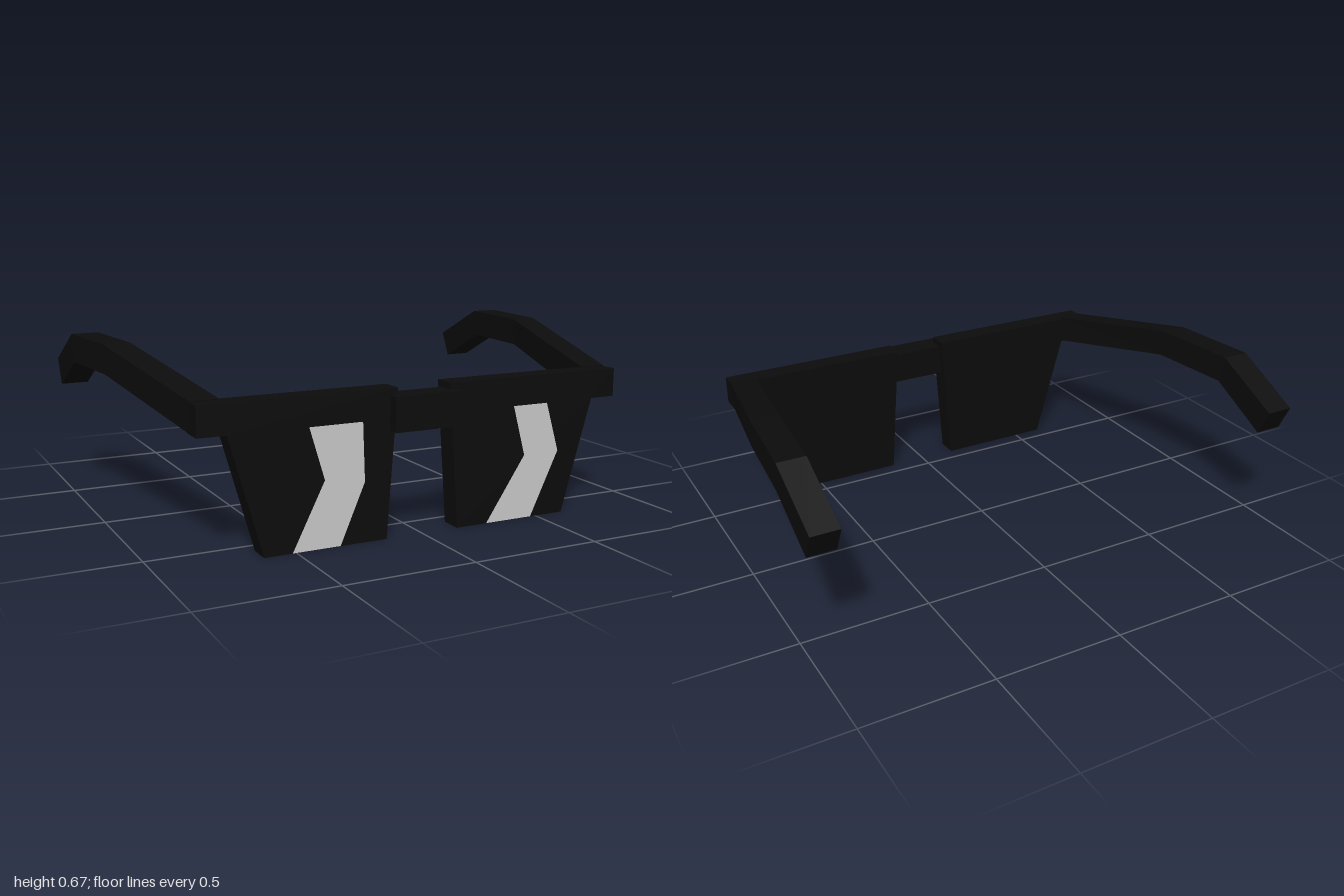
import * as THREE from 'three';

const black = new THREE.MeshStandardMaterial({ color: 0x0c0c0c, flatShading: true });
const grey = new THREE.MeshStandardMaterial({ color: 0xcccccc, side: THREE.DoubleSide });

const FRONT = 0.645, BACK = 0.56;

function add(parent, name, geometry, material) {
  const mesh = new THREE.Mesh(geometry, material);
  mesh.name = name;
  parent.add(mesh);
  return mesh;
}

const outline = (points) => new THREE.Shape(points.map(([x, y]) => new THREE.Vector2(x, y)));

// Loft through four-cornered sections ordered from front to back
function loft(sections) {
  const pos = [];
  const quad = (a, b, c, d) => [a, b, c, a, c, d].forEach((p) => pos.push(...p));
  for (let i = 0; i < sections.length - 1; i++) {
    const s = sections[i], t = sections[i + 1];
    for (let k = 0; k < 4; k++) {
      const n = (k + 1) % 4;
      quad(s[k], s[n], t[n], t[k]);
    }
  }
  const first = sections[0], last = sections[sections.length - 1];
  quad(first[0], first[3], first[2], first[1]);
  quad(last[0], last[1], last[2], last[3]);
  const g = new THREE.BufferGeometry();
  g.setAttribute('position', new THREE.Float32BufferAttribute(pos, 3));
  g.computeVertexNormals();
  return g;
}

// Temple arm stations: inner x, outer x, top [y, z], bottom [y, z]
const armStations = [
  [0.745, 0.85, [0.55, 0.58], [0.44, 0.565]],
  [0.862, 0.967, [0.665, -0.05], [0.555, -0.04]],
  [0.892, 1.0, [0.665, -0.41], [0.555, -0.385]],
  [0.892, 1.0, [0.53, -0.69], [0.428, -0.64]],
];

function armGeometry(side) {
  return loft(armStations.map(([inner, outer, [ty, tz], [by, bz]]) => {
    const [a, b] = side > 0 ? [inner, outer] : [-outer, -inner];
    return [[a, ty, tz], [b, ty, tz], [b, by, bz], [a, by, bz]];
  }));
}

// Tapered lens with the hinge corner reaching outward at the top
const lensPoints = [[0.107, 0.547], [0.85, 0.547], [0.85, 0.438], [0.745, 0.438], [0.62, 0], [0.148, 0]];

// Bent reflection stripes, different on each lens
const stripes = {
  left: [[0.385, 0.438], [0.535, 0.438], [0.592, 0.248], [0.475, 0.001], [0.275, 0.001], [0.438, 0.246]],
  right: [[-0.45, 0.438], [-0.245, 0.438], [-0.237, 0.222], [-0.332, 0.001], [-0.515, 0.001], [-0.392, 0.246]],
};

export function createModel() {
  const model = new THREE.Group();
  model.name = 'sunglasses';

  for (const [label, side] of [['left', 1], ['right', -1]]) {
    const half = new THREE.Group();
    half.name = label + 'Half';
    model.add(half);

    const lens = new THREE.ExtrudeGeometry(outline(lensPoints.map(([x, y]) => [x * side, y])),
      { depth: FRONT - BACK, bevelEnabled: false });
    lens.translate(0, 0, BACK);
    add(half, label + 'Lens', lens, black);

    const stripe = new THREE.ShapeGeometry(outline(stripes[label]));
    stripe.translate(0, 0, FRONT + 0.002);
    add(half, label + 'Reflection', stripe, grey);

    add(half, label + 'Temple', armGeometry(side), black);
  }

  // Nose bridge, standing slightly proud of the lenses
  const bridge = add(model, 'bridge', new THREE.BoxGeometry(0.275, 0.128, 0.105), black);
  bridge.position.set(0, 0.459, 0.6375);

  return model;
}
